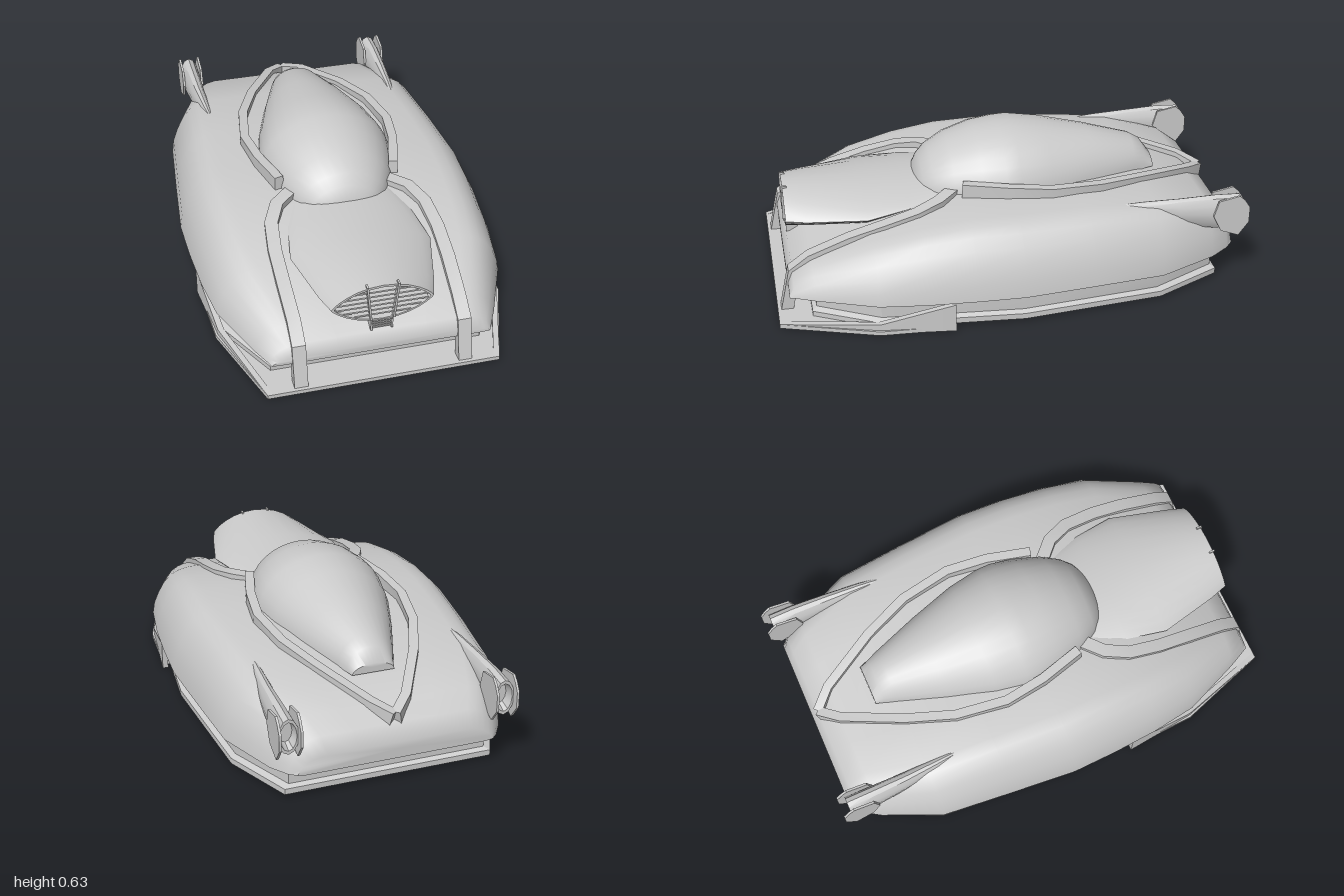
import * as THREE from 'three';
import { toCreasedNormals } from 'three/addons/utils/BufferGeometryUtils.js';

const V = (x, y, z) => new THREE.Vector3(x, y, z);
const material = new THREE.MeshStandardMaterial({ color: 0xcccccc, side: THREE.DoubleSide });

// Skin closed rings of equal point count, cap both ends, face outwards
function loft(rings, crease = 0.7) {
  const n = rings[0].length, tris = [];
  for (let i = 0; i < rings.length - 1; i++) {
    for (let j = 0; j < n; j++) {
      const k = (j + 1) % n, [a, b] = [rings[i], rings[i + 1]];
      tris.push([a[j], a[k], b[k]], [a[j], b[k], b[j]]);
    }
  }
  const cap = (ring, flip) => {
    const c = ring.reduce((s, p) => s.add(p), V(0, 0, 0)).divideScalar(n);
    ring.forEach((p, j) => {
      const q = ring[(j + 1) % n];
      tris.push(flip ? [c, q, p] : [c, p, q]);
    });
  };
  cap(rings[0], true);
  cap(rings[rings.length - 1], false);
  const volume = tris.reduce((s, [a, b, c]) => s + a.dot(b.clone().cross(c)), 0);
  const pts = tris.flatMap(([a, b, c]) => (volume < 0 ? [a, c, b] : [a, b, c]));
  return toCreasedNormals(new THREE.BufferGeometry().setFromPoints(pts), crease);
}

// Rectangular bar along a path; its top face follows the path
function sweep(path, width, depth) {
  return loft(path.map((p, i) => {
    const t = path[Math.min(i + 1, path.length - 1)].clone().sub(path[Math.max(i - 1, 0)]).normalize();
    const side = t.clone().cross(V(0, 1, 0)).normalize();
    const up = side.clone().cross(t).normalize();
    return [[-1, 0], [1, 0], [1, -1], [-1, -1]].map(([s, u]) =>
      p.clone().addScaledVector(side, s * width / 2).addScaledVector(up, u * depth));
  }), 0.5);
}

// Horizontal ring from half-outline points [x, z]
const outlineRing = (half, y, inset = 0) => [
  ...half.map(([x, z]) => V(x - inset, y, z * (1 - inset))),
  ...half.slice().reverse().map(([x, z]) => V(-x + inset, y, z * (1 - inset))),
];

export function createModel() {
  const model = new THREE.Group();
  const add = (name, geometry, parent = model) => {
    const mesh = new THREE.Mesh(geometry, material);
    mesh.name = name;
    parent.add(mesh);
    return mesh;
  };

  // Hull: [z, half width, bottom, top] with rounded shoulders
  const flank = [[0.93, -0.02], [1, 0.05], [0.985, 0.28], [0.95, 0.5], [0.9, 0.73], [0.84, 0.88], [0.78, 0.96], [0.7, 1], [0.4, 1]];
  const hull = [
    [0.95, 0.45, 0.12, 0.15], [0.93, 0.46, 0.12, 0.2], [0.85, 0.5, 0.12, 0.245], [0.6, 0.605, 0.12, 0.34],
    [0.4, 0.635, 0.12, 0.385], [0.2, 0.65, 0.12, 0.412], [0, 0.657, 0.12, 0.415], [-0.3, 0.63, 0.12, 0.41],
    [-0.6, 0.6, 0.12, 0.388], [-0.85, 0.49, 0.12, 0.335], [-0.93, 0.44, 0.13, 0.28], [-0.96, 0.41, 0.14, 0.21],
  ].map(([z, w, b, t]) => {
    const right = flank.map(([u, v]) => V(u * w, b + v * (t - b), z));
    return [...right, ...right.slice().reverse().map(p => V(-p.x, p.y, z))];
  });
  add('hull', loft(hull, 0.8));

  // Skirt with a bottom flange
  const skirt = [[0.44, 0.86], [0.58, 0.6], [0.63, 0], [0.575, -0.6], [0.44, -0.885]];
  add('skirt', loft([[0.015, 0], [0.04, 0], [0.05, 0.022], [0.105, 0.022], [0.125, 0.005]]
    .map(([y, inset]) => outlineRing(skirt, y, inset)), 0.4));

  // Front tray with rising side walls
  const tray = [[0.48, 1], [0.615, 0.6], [0.63, 0.32]];
  add('frontTray', loft([0, 0.018].map(y => outlineRing(tray, y)), 0.3));
  for (const s of [1, -1]) {
    const wall = [[0.48, 0.018, 1], [0.605, 0.045, 0.6], [0.64, 0.125, 0.29]].map(([x, top, z]) =>
      [V(s * x, 0, z), V(s * x, top, z), V(s * (x - 0.025), top, z), V(s * (x - 0.025), 0, z)]);
    add('traySideWall', loft(wall, 0.3));
  }

  // Canopy dome: [z, half width, top]
  const canopy = [
    [0.37, 0.1, 0.43], [0.34, 0.15, 0.485], [0.3, 0.19, 0.525], [0.22, 0.235, 0.572], [0.1, 0.272, 0.61],
    [0, 0.29, 0.622], [-0.06, 0.288, 0.626], [-0.2, 0.262, 0.605], [-0.4, 0.197, 0.56], [-0.6, 0.122, 0.505],
    [-0.65, 0.102, 0.475], [-0.69, 0.09, 0.42],
  ].map(([z, w, top]) => Array.from({ length: 17 }, (_, i) => {
    const a = Math.PI * i / 16;
    return V(w * Math.cos(a), 0.38 + (top - 0.38) * Math.sin(a), z);
  }));
  add('canopy', loft(canopy, 0.7));

  // Pointed collar behind the canopy, and front frame bars
  const collar = [[0.25, 0.472, 0.19], [0.302, 0.465, 0], [0.325, 0.452, -0.18], [0.29, 0.435, -0.4],
    [0.21, 0.41, -0.6], [0.075, 0.36, -0.85], [0, 0.33, -0.93]];
  const bar = [[0.34, 0.018, 0.985], [0.34, 0.2, 0.945], [0.34, 0.262, 0.86], [0.345, 0.33, 0.69],
    [0.345, 0.372, 0.54], [0.33, 0.405, 0.4], [0.285, 0.425, 0.3], [0.2, 0.43, 0.22]];
  for (const s of [1, -1]) {
    const mirror = path => path.map(([x, y, z]) => V(s * x, y, z));
    add('canopyCollar', sweep(mirror(collar), 0.04, 0.09));
    add('frontFrameBar', sweep(mirror(bar), 0.056, 0.05));
  }

  // Hood scoop: lens-shaped sections with a recessed mouth
  const lens = (z, w, mid, up, down) => Array.from({ length: 24 }, (_, i) => {
    const a = Math.PI * 2 * i / 24, c = Math.cos(a), h = 1 - c * c;
    return V(w * c, mid + (Math.sin(a) >= 0 ? up : -down) * Math.pow(h, 0.8), z);
  });
  const scoop = new THREE.Group();
  scoop.name = 'hoodScoop';
  model.add(scoop);
  add('scoopShell', loft([
    lens(0.22, 0.2, 0.4, 0.03, 0.06), lens(0.42, 0.265, 0.38, 0.05, 0.08), lens(0.6, 0.295, 0.36, 0.075, 0.09),
    lens(0.85, 0.235, 0.345, 0.093, 0.085), lens(0.935, 0.208, 0.345, 0.09, 0.085),
    lens(0.935, 0.196, 0.345, 0.08, 0.077), lens(0.84, 0.19, 0.345, 0.075, 0.072),
  ], 0.6), scoop);

  // Grille slats, uprights and small lower vent
  for (let i = 0; i < 6; i++) {
    const dy = -0.055 + i * 0.022;
    const w = 0.39 * Math.sqrt(1 - Math.pow(Math.abs(dy) / 0.08, 1.25));
    add('grilleSlat', new THREE.BoxGeometry(w, 0.007, 0.03), scoop).position.set(0, 0.345 + dy, 0.915);
  }
  for (const s of [1, -1]) {
    const upright = add('grilleUpright', new THREE.BoxGeometry(0.008, 0.17, 0.025), scoop);
    upright.position.set(s * 0.055, 0.352, 0.928);
    upright.rotation.z = -s * 0.1;
    add('ventSide', new THREE.BoxGeometry(0.008, 0.065, 0.05), scoop).position.set(s * 0.042, 0.24, 0.905);
  }
  for (let i = 0; i < 4; i++) {
    add('ventSlat', new THREE.BoxGeometry(0.085, 0.006, 0.045), scoop).position.set(0, 0.215 + i * 0.015, 0.9 + i * 0.005);
  }

  // Rear pods with paired nozzle flaps
  const flap = new THREE.Shape([[0.84, 0.33], [0.86, 0.4], [0.95, 0.418], [0.975, 0.395], [0.998, 0.36],
    [0.998, 0.29], [0.955, 0.23], [0.875, 0.26]].map(([u, v]) => new THREE.Vector2(u, v)));
  const flapGeometry = new THREE.ExtrudeGeometry(flap, { depth: 0.01, bevelEnabled: false });
  flapGeometry.rotateY(Math.PI / 2).translate(-0.005, 0, 0);
  for (const s of [1, -1]) {
    const pod = new THREE.Group();
    pod.name = 'rearPod';
    pod.position.x = s * 0.448;
    model.add(pod);
    const rings = [[-0.43, 0.008, 0.38, 0.395, -0.02], [-0.55, 0.022, 0.33, 0.402, -0.012], [-0.7, 0.032, 0.28, 0.405, -0.004],
      [-0.86, 0.04, 0.25, 0.41, 0], [-0.965, 0.042, 0.25, 0.405, 0], [-0.965, 0.034, 0.265, 0.39, 0], [-0.92, 0.028, 0.28, 0.375, 0]]
      .map(([z, w, lo, hi, dx]) => Array.from({ length: 12 }, (_, i) => {
        const a = Math.PI * 2 * i / 12;
        return V(s * dx + w * Math.cos(a), (lo + hi) / 2 + (hi - lo) / 2 * Math.sin(a), z);
      }));
    add('podBody', loft(rings, 0.6), pod);
    for (const t of [1, -1]) add('nozzleFlap', flapGeometry, pod).position.x = t * 0.043;
  }
  return model;
}
